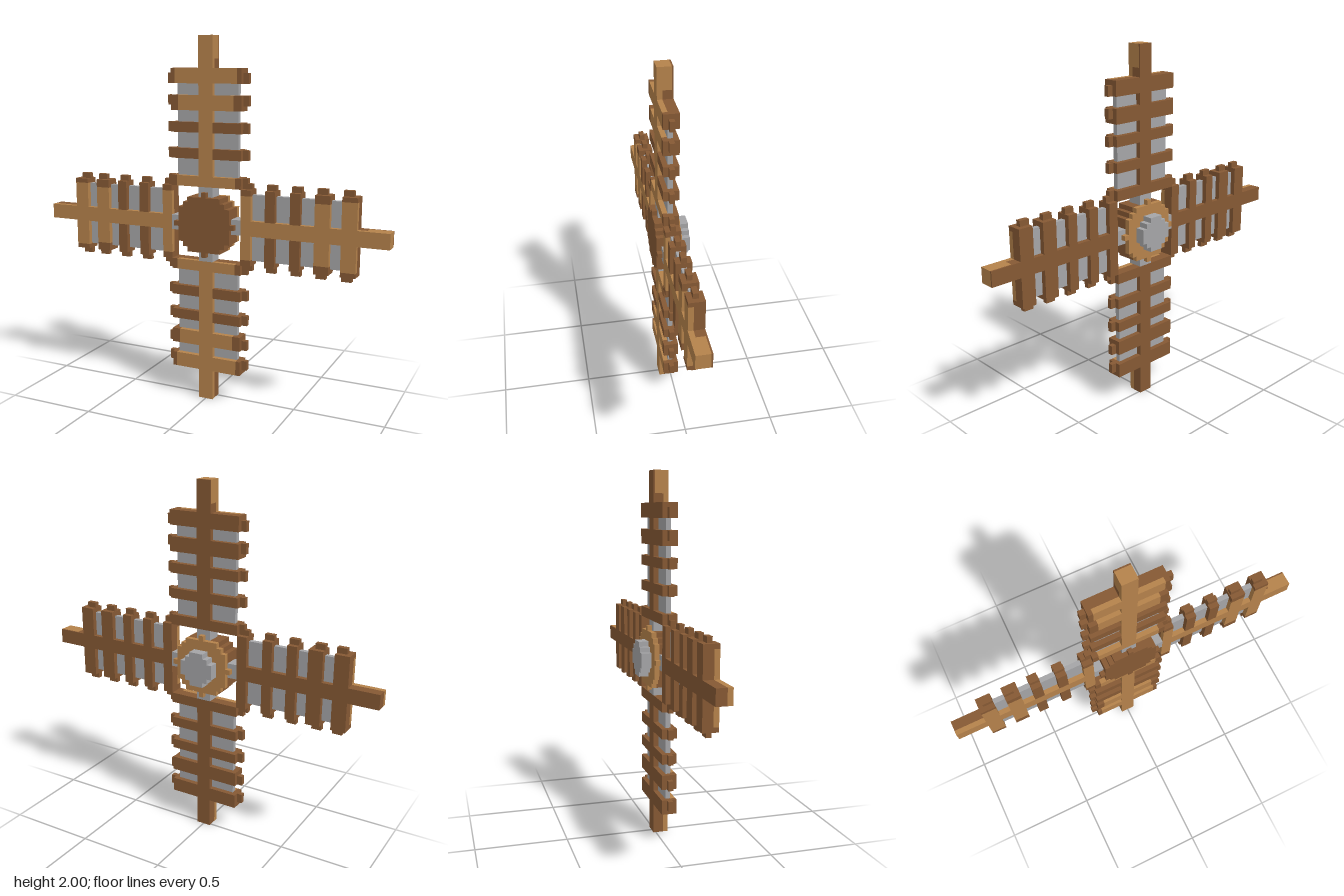
import * as THREE from 'three';

const V = 2 / 73; // block size
const Z = [-3.5, -2.5, -1.5, -0.5, 0.5, 1.5, 2.5, 3.5].map(k => k * V); // depth layers

const mat = (name, color) => {
  const m = new THREE.MeshStandardMaterial({ color });
  m.name = name;
  return m;
};

// Stepped round outline: one quarter in block units, turned four times
function steppedDisc(quarter, z0, z1) {
  const pts = [];
  for (let i = 0; i < 4; i++) {
    for (let [x, y] of quarter) {
      for (let k = 0; k < i; k++) [x, y] = [-y, x];
      pts.push(new THREE.Vector2(x * V, y * V));
    }
  }
  const g = new THREE.ExtrudeGeometry(new THREE.Shape(pts), { depth: z1 - z0, bevelEnabled: false });
  return g.translate(0, 0, z0);
}

export function createModel() {
  const root = new THREE.Group();
  root.name = 'windmillSails';
  const light = mat('lightWood', 0xb5824b);
  const dark = mat('darkWood', 0x865934);
  const cloth = mat('greyCloth', 0xa5a5a7);

  const box = (parent, name, m, x0, x1, y0, y1, z0, z1) => {
    const mesh = new THREE.Mesh(new THREE.BoxGeometry(x1 - x0, y1 - y0, z1 - z0), m);
    mesh.position.set((x0 + x1) / 2, (y0 + y1) / 2, (z0 + z1) / 2);
    mesh.name = name;
    parent.add(mesh);
  };
  const pair = (parent, name, m, x0, x1, ...r) => {
    box(parent, name, m, x0, x1, ...r);
    box(parent, name, m, -x1, -x0, ...r);
  };

  // One sail, pointing along +y
  function sail(name, rungs, lightTip) {
    const g = new THREE.Group();
    g.name = name;
    const s = 1.5 * V, end = 7.5 * V, tip = 8.6 * V;

    // Spar: light front layer over dark back layers
    box(g, 'sparFront', light, -s, s, 0.205, 1, Z[5], Z[6]);
    box(g, 'sparBack', dark, -s, s, 0.205, 0.88, Z[3], Z[5]);
    box(g, 'sparTipCore', lightTip ? light : dark, -s, s, 0.88, 1, Z[3] + 0.008, Z[5]);
    box(g, 'sparTipBack', dark, -s, s, 0.88, 1, Z[3], Z[3] + 0.008);

    // Cloth panels and the rod to the hub
    pair(g, 'clothPanel', cloth, s, 6.5 * V, 0.24, 0.78, Z[4], Z[5]);
    box(g, 'hubRod', cloth, -s, s, 0.1, 0.205, Z[3], Z[6]);

    // Rungs: [inner, outer, tip start, front is light up to]
    const rows = [
      [0.205, 0.262, 0.208, 6.3 * V],
      [rungs[0], rungs[0] + 0.055, rungs[0], 0],
      [rungs[1], rungs[1] + 0.055, rungs[1], 0],
      [0.612, 0.692, rungs[2], 5.9 * V],
      [0.753, 0.833, 0.753, 6.6 * V],
    ];
    for (const [a, b, t, lit] of rows) {
      pair(g, 'rung', dark, s, end, a, b, Z[3], Z[5]);
      pair(g, 'rungTip', dark, end, tip, t, t + 0.054, Z[4], Z[5]);
      if (lit) pair(g, 'rungFrontLight', light, s, lit, a, b, Z[5], Z[6]);
      pair(g, 'rungFrontDark', dark, lit || s, end, a, b, Z[5], Z[6]);
    }
    return g;
  }

  // Four sails around the hub
  const even = [0.355, 0.495, 0.638], near = [0.342, 0.48, 0.616];
  const hubGroup = new THREE.Group();
  hubGroup.name = 'sailCross';
  hubGroup.position.y = 1;
  root.add(hubGroup);
  [
    ['topSail', even, true], ['rightSail', even, false],
    ['bottomSail', even, false], ['leftSail', near, true],
  ].forEach(([name, rungs, lit], i) => {
    const g = sail(name, rungs, lit);
    g.rotation.z = i * Math.PI / 2;
    hubGroup.add(g);
  });

  // Hub with a light back ring and a grey axle
  const hubQuarter = [[6.5, 0.5], [5.5, 0.5], [5.5, 3.5], [4.5, 3.5], [4.5, 4.5],
    [3.5, 4.5], [3.5, 5.5], [0.5, 5.5], [0.5, 6.5]];
  const axleQuarter = [[3.5, 1.5], [2.5, 1.5], [2.5, 2.5], [1.5, 2.5], [1.5, 3.5]];
  [
    ['hub', dark, hubQuarter, Z[3], Z[7]],
    ['hubBackRing', light, hubQuarter, Z[2], Z[3]],
    ['axle', cloth, axleQuarter, Z[0], Z[2]],
  ].forEach(([name, m, q, z0, z1]) => {
    const mesh = new THREE.Mesh(steppedDisc(q, z0, z1), m);
    mesh.name = name;
    hubGroup.add(mesh);
  });

  return root;
}
